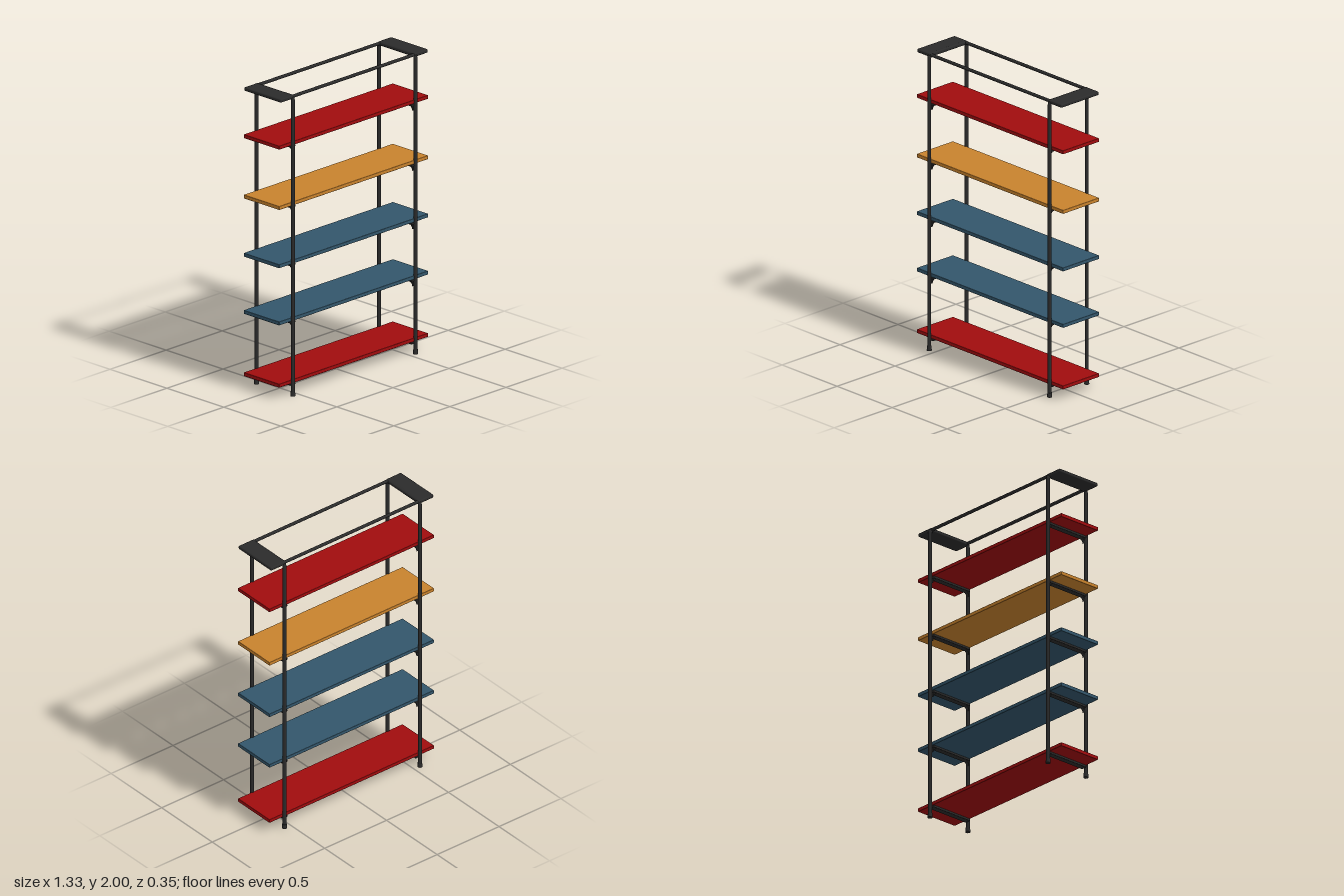
import * as THREE from 'three';
import { RoundedBoxGeometry } from 'three/addons/geometries/RoundedBoxGeometry.js';

const mat = (name, color) => {
  const m = new THREE.MeshStandardMaterial({ color });
  m.name = name;
  return m;
};

export function createModel() {
  const black = mat('black metal', 0x2b2b2b);
  const red = mat('red board', 0xa00c0e);
  const amber = mat('amber board', 0xc8822d);
  const blue = mat('blue board', 0x33566b);

  const root = new THREE.Group();
  root.name = 'shelvingUnit';
  const add = (name, geo, material, x = 0, y = 0, z = 0) => {
    const mesh = new THREE.Mesh(geo, material);
    mesh.name = name;
    mesh.position.set(x, y, z);
    root.add(mesh);
    return mesh;
  };

  const postX = 0.547, postZ = 0.16, tubeR = 0.0125;
  const shelves = [[0.094, red], [0.508, blue], [0.888, blue], [1.275, amber], [1.676, red]];

  // Boards
  for (const [y, material] of shelves) {
    add('shelf', new RoundedBoxGeometry(1.33, 0.025, 0.312, 2, 0.004), material, 0, y, 0);
  }

  // Each side frame is one tube bent over at the top
  const topY = 1.987, bend = 0.025;
  const v = (y, z) => new THREE.Vector3(0, y, z);
  const path = new THREE.CurvePath();
  path.add(new THREE.LineCurve3(v(0.01, postZ), v(topY - bend, postZ)));
  path.add(new THREE.QuadraticBezierCurve3(v(topY - bend, postZ), v(topY, postZ), v(topY, postZ - bend)));
  path.add(new THREE.LineCurve3(v(topY, postZ - bend), v(topY, bend - postZ)));
  path.add(new THREE.QuadraticBezierCurve3(v(topY, bend - postZ), v(topY, -postZ), v(topY - bend, -postZ)));
  path.add(new THREE.LineCurve3(v(topY - bend, -postZ), v(0.01, -postZ)));
  const frameGeo = new THREE.TubeGeometry(path, 400, tubeR, 12, false);

  // Curved corner brace profile, with its square corner at the post and crossbar
  const brace = new THREE.Shape();
  brace.moveTo(0, 0);
  brace.lineTo(0.03, 0);
  brace.quadraticCurveTo(0.004, -0.004, 0, -0.03);
  brace.closePath();
  const braceGeo = new THREE.ExtrudeGeometry(brace, { depth: 0.022, bevelEnabled: false, curveSegments: 6 });
  braceGeo.translate(0, 0, -0.011);

  for (const side of [-1, 1]) {
    add('sideFrame', frameGeo, black, side * postX);

    // Top end plate
    add('topPlate', new RoundedBoxGeometry(0.122, 0.024, 0.326, 2, 0.008), black, side * 0.596, 1.986, 0);

    for (const end of [-1, 1]) {
      add('foot', new THREE.CylinderGeometry(0.0145, 0.016, 0.03, 16), black, side * postX, 0.015, end * postZ);
    }

    // Crossbars under the boards, braced to the posts
    shelves.forEach(([y], i) => {
      const under = y - 0.0125;
      add('crossbar', new RoundedBoxGeometry(0.042, 0.016, 0.31, 2, 0.005), black, side * 0.538, under - 0.008, 0);
      if (i === 0) return;
      for (const end of [-1, 1]) {
        const b = add('cornerBrace', braceGeo, black, side * 0.538, under - 0.015, end * 0.151);
        b.rotation.y = end * Math.PI / 2;
      }
    });
  }

  // Long top rails
  for (const end of [-1, 1]) {
    const rail = add('topRail', new THREE.CylinderGeometry(0.0105, 0.0105, 1.1, 12), black, 0, 1.987, end * 0.151);
    rail.rotation.z = Math.PI / 2;
  }

  return root;
}
